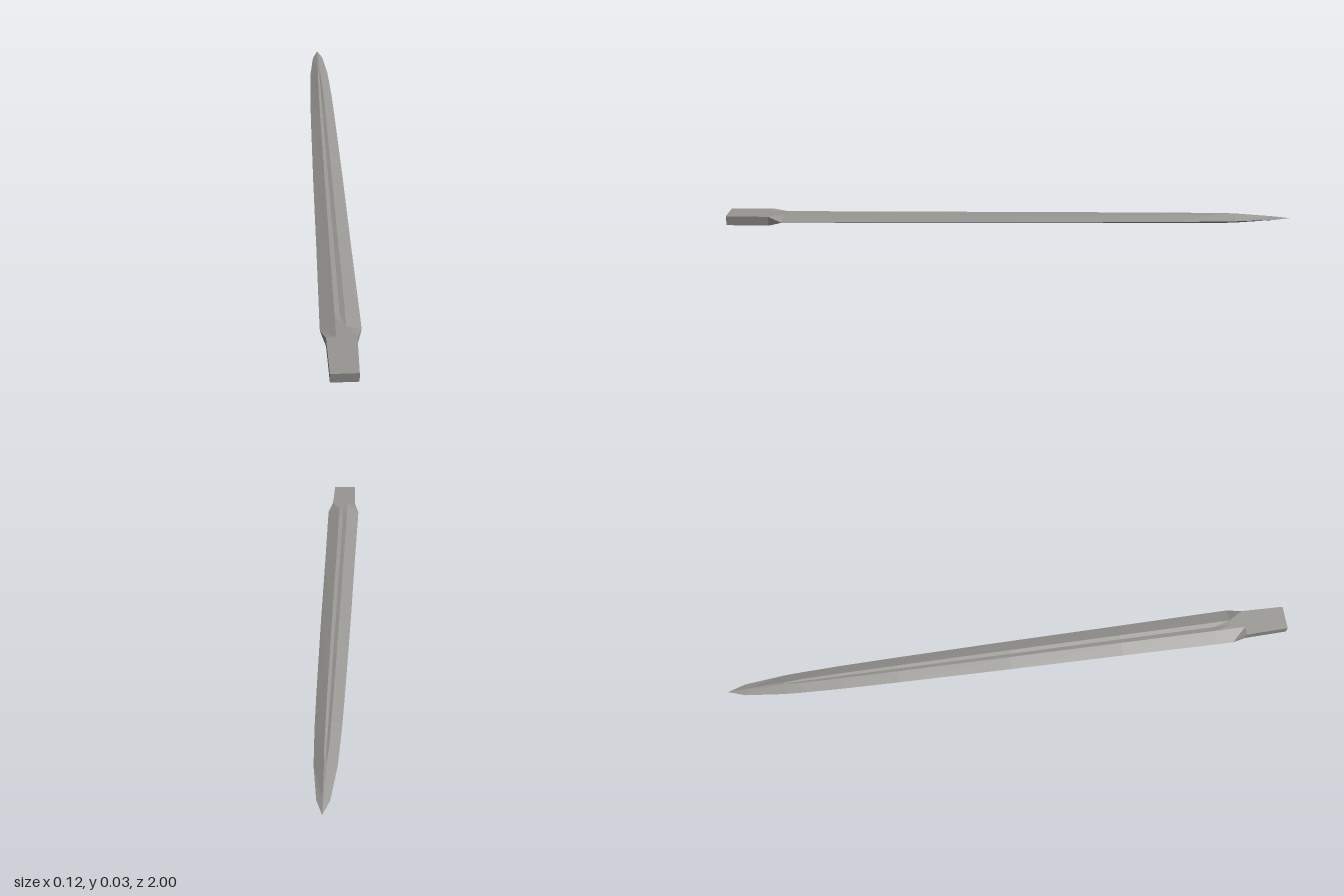
import * as THREE from 'three';

const MID = 0.0165; // half thickness; also the height of the cutting edges

// Stations: z, half width, half height of the side wall, fuller half width, half thickness, fuller depth
const STATIONS = [
  [1.0, 0.042, MID, 0.016, MID, 0],
  [0.85, 0.046, MID, 0.016, MID, 0],
  [0.8, 0.062, 0, 0.016, MID, 0],
  [0.74, 0.0615, 0, 0.016, MID, 0.003],
  [0.4, 0.057, 0, 0.0145, MID, 0.003],
  [0, 0.053, 0, 0.013, MID, 0.003],
  [-0.4, 0.047, 0, 0.011, MID, 0.003],
  [-0.6, 0.043, 0, 0.009, MID, 0.003],
  [-0.74, 0.038, 0, 0.007, MID, 0.002],
  [-0.8, 0.035, 0, 0.004, 0.016, 0],
  [-0.94, 0.02, 0, 0.002, 0.006, 0],
  [-1.0, 0, 0, 0, 0, 0],
];

// Ten-sided outline, counter-clockwise when seen from the front
function section([z, w, s, f, h, d]) {
  return [
    [w, s], [f, h], [0, h - d], [-f, h], [-w, s],
    [-w, -s], [-f, -h], [0, d - h], [f, -h], [w, -s],
  ].map(([x, y]) => new THREE.Vector3(x, MID + y, z));
}

function bladeGeometry() {
  const rings = STATIONS.map(section);
  const positions = [];
  const tri = (a, b, c) => {
    // Skip triangles that collapse at the edges and the point
    if (new THREE.Triangle(a, b, c).getArea() < 1e-9) return;
    for (const p of [a, b, c]) positions.push(p.x, p.y, p.z);
  };
  const n = rings[0].length;
  for (let i = 0; i < rings.length - 1; i++) {
    const front = rings[i], back = rings[i + 1];
    for (let j = 0; j < n; j++) {
      const k = (j + 1) % n;
      tri(front[j], back[j], back[k]);
      tri(front[j], back[k], front[k]);
    }
  }
  // Flat end of the tang
  const centre = new THREE.Vector3(0, MID, STATIONS[0][0]);
  for (let j = 0; j < n; j++) tri(centre, rings[0][j], rings[0][(j + 1) % n]);

  const geometry = new THREE.BufferGeometry();
  geometry.setAttribute('position', new THREE.Float32BufferAttribute(positions, 3));
  geometry.computeVertexNormals();
  return geometry;
}

export function createModel() {
  const steel = new THREE.MeshStandardMaterial({ color: 0x989692 });
  steel.name = 'steel grey';

  const group = new THREE.Group();
  group.name = 'swordBlade';
  const blade = new THREE.Mesh(bladeGeometry(), steel);
  blade.name = 'blade';
  group.add(blade);
  return group;
}
